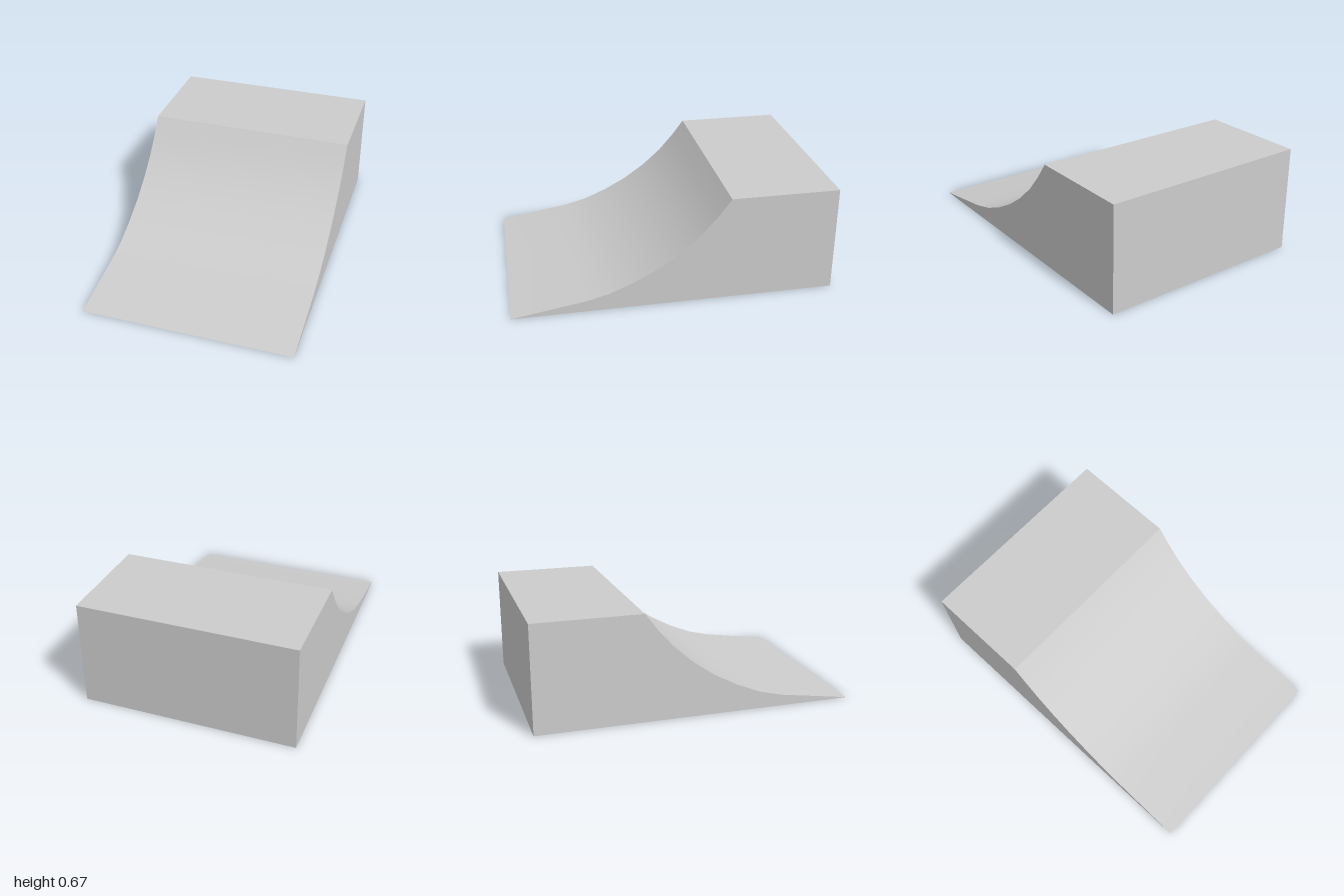
import * as THREE from 'three';
import { toCreasedNormals } from 'three/addons/utils/BufferGeometryUtils.js';

const WIDTH = 1.333;

export function createModel() {
  const group = new THREE.Group();
  group.name = 'quarterPipeRamp';

  const grey = new THREE.MeshStandardMaterial({ color: 0xcccccc });
  grey.name = 'light grey';

  // Side profile as [z, y]: flat lip, faceted upward curve, then the deck
  const profile = [
    [1, 0], [0.55, 0.07], [0.4, 0.108], [0.25, 0.17], [0.1, 0.25],
    [-0.04, 0.348], [-0.16, 0.455], [-0.255, 0.563], [-0.333, 0.667],
    [-1, 0.667], [-1, 0],
  ];
  const shape = new THREE.Shape(profile.map(([z, y]) => new THREE.Vector2(-z, y)));

  // Extrude across the width, then turn so the lip faces the front
  const solid = new THREE.ExtrudeGeometry(shape, { depth: WIDTH, bevelEnabled: false });
  solid.translate(0, 0, -WIDTH / 2);
  solid.rotateY(Math.PI / 2);

  // Smooth riding surface, sharp outer edges
  const ramp = new THREE.Mesh(toCreasedNormals(solid, 0.5), grey);
  ramp.name = 'ramp';
  group.add(ramp);
  return group;
}
